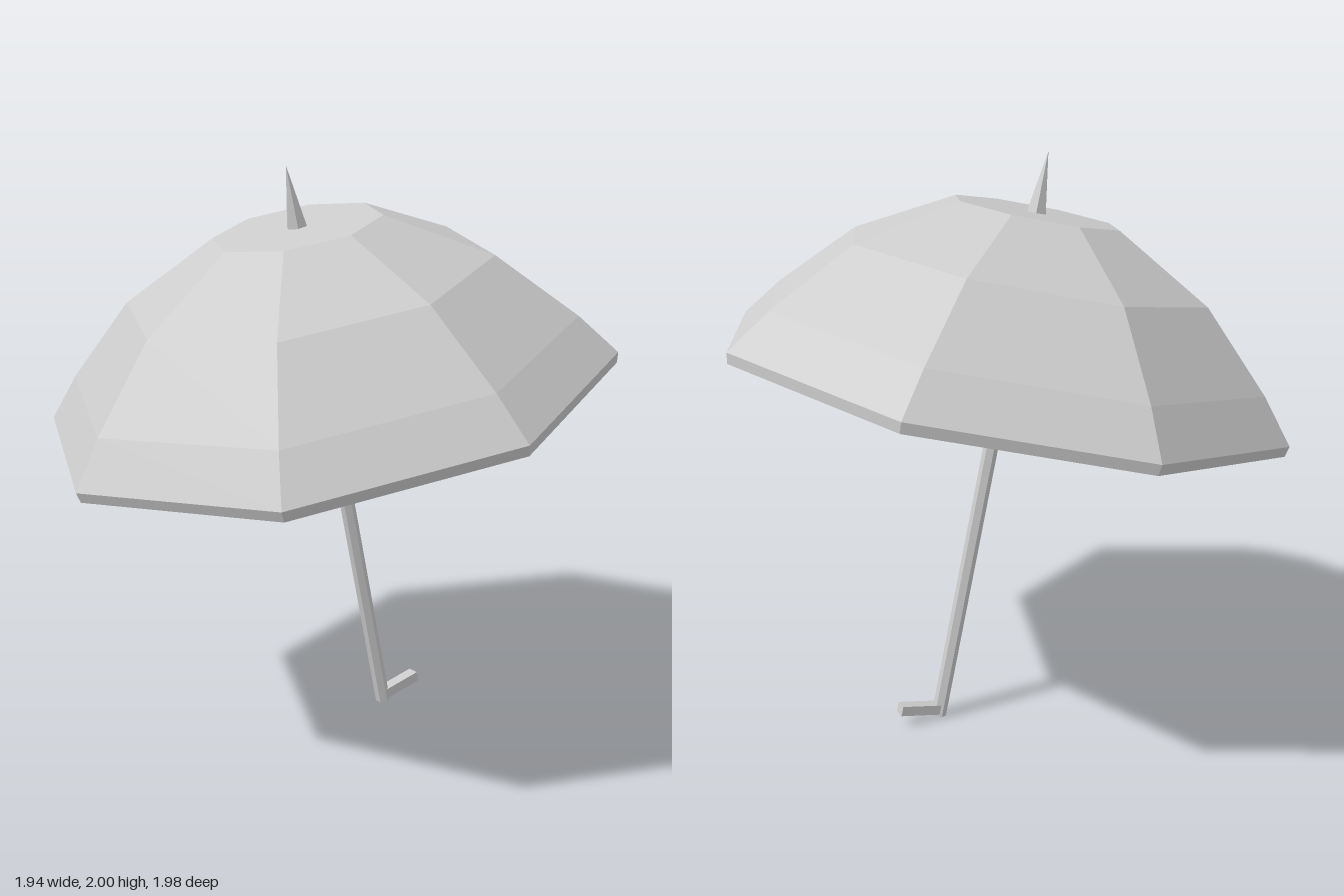
import * as THREE from 'three';

export function createModel() {
  const model = new THREE.Group();
  model.name = 'umbrella';

  const grey = new THREE.MeshStandardMaterial({ color: 0xcccccc });
  grey.name = 'light grey';
  grey.flatShading = true;

  // Everything shares one leaning frame whose origin is the centre of the rim
  const leaning = new THREE.Group();
  leaning.name = 'leaningUmbrella';
  leaning.position.set(0, 1.247, 0);
  leaning.rotation.z = 0.2125;
  model.add(leaning);

  const add = (name, geometry, x, y) => {
    const mesh = new THREE.Mesh(geometry, grey);
    mesh.name = name;
    mesh.position.set(x, y, 0);
    leaning.add(mesh);
    return mesh;
  };

  // Canopy: closed eight-sided shell, up the inside, around the rim, over the outside
  const outer = [[0.99, 0], [0.875, 0.142], [0.63, 0.383], [0.289, 0.565], [0, 0.565]];
  const thickness = 0.036;
  const inner = outer.map(([r, y]) => [r * 0.992, y - thickness]).reverse();
  const profile = [...inner, ...outer].map(([r, y]) => new THREE.Vector2(r, y));
  add('canopy', new THREE.LatheGeometry(profile, 8), 0, 0);

  // Spike on the crown
  const spike = add('spike', new THREE.ConeGeometry(0.038, 0.215, 6), 0, 0.6625);
  spike.rotation.y = Math.PI / 6;

  // Hexagonal shaft from the handle to the crown
  const bottom = -1.27, top = 0.55;
  add('shaft', new THREE.CylinderGeometry(0.026, 0.026, top - bottom, 6), 0, (top + bottom) / 2);

  // Short handle at a right angle to the shaft
  add('handle', new THREE.BoxGeometry(0.16, 0.036, 0.042), 0.08, -1.244);

  return model;
}
